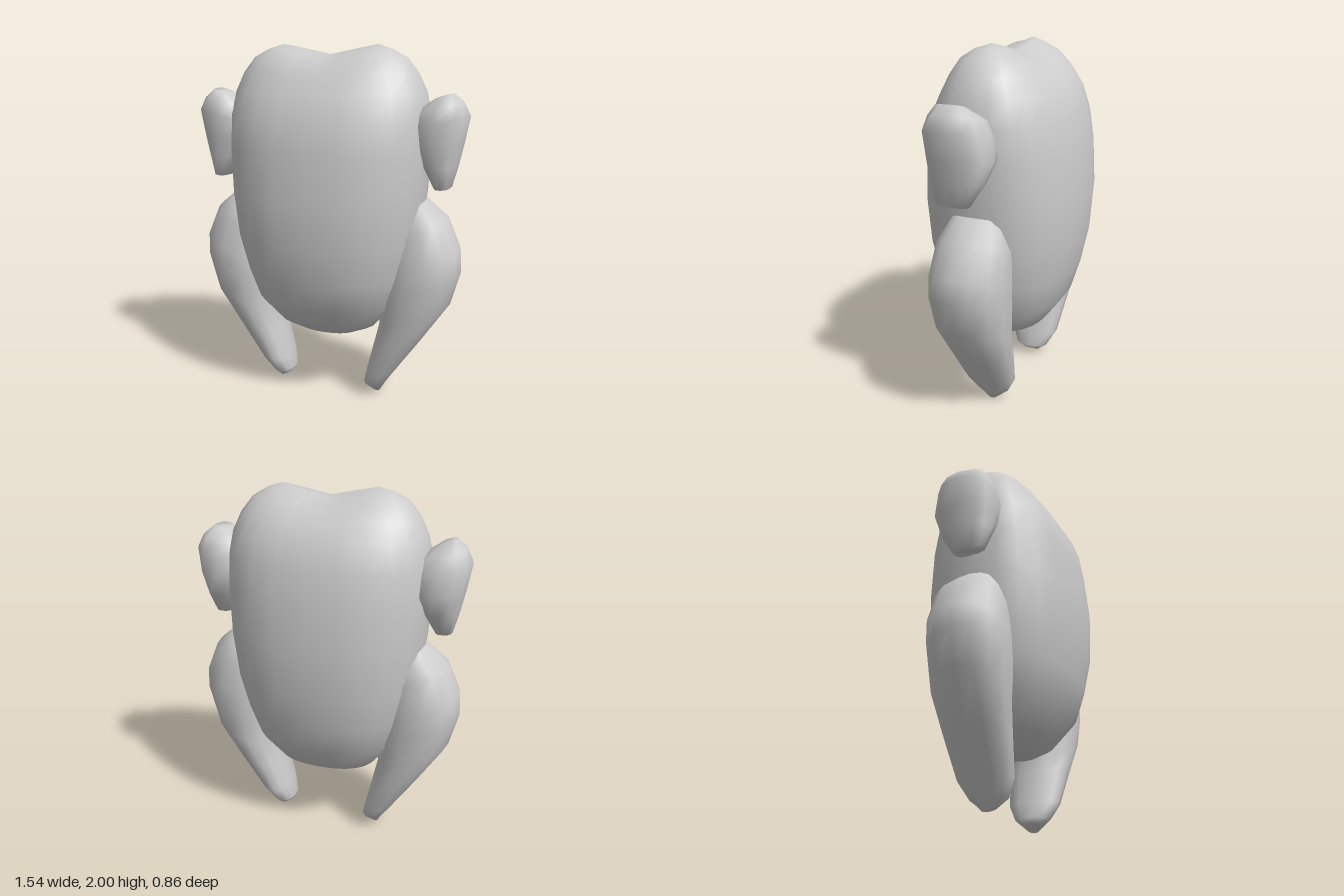
import * as THREE from 'three';

// Loft through closed rings, bottom to top, with a point closing each end.
// Row: [outerX, outerY, innerX, innerY, zFront, zBack]; side -1 mirrors in x.
function loft(name, rows, { side = 1, segments = 16, power = 2, shape = null }) {
  const pos = [], index = [];
  const add = (x, y, z) => {
    const p = new THREE.Vector3(x, y, z);
    if (shape) shape(p);
    pos.push(p.x, p.y, p.z);
  };
  const round = v => Math.sign(v) * Math.abs(v) ** (2 / power);
  for (const [ox, oy, ix, iy, zf, zb] of rows) {
    for (let j = 0; j < segments; j++) {
      const a = (j / segments) * Math.PI * 2;
      const c = round(Math.cos(a)), s = round(Math.sin(a));
      add(side * (ox + ix) / 2 + c * (ox - ix) / 2,
        (oy + iy) / 2 + side * c * (oy - iy) / 2,
        s > 0 ? s * zf : -s * zb);
    }
  }
  const ends = [rows[0], rows[rows.length - 1]];
  for (const [ox, oy, ix, iy, zf, zb] of ends) {
    add(side * (ox + ix) / 2, (oy + iy) / 2, (zf + zb) / 2);
  }
  const last = (rows.length - 1) * segments, bottom = rows.length * segments;
  for (let j = 0; j < segments; j++) {
    const k = (j + 1) % segments;
    for (let i = 0; i < last; i += segments) {
      const a = i + j, b = i + k;
      index.push(a, a + segments, b, b, a + segments, b + segments);
    }
    index.push(bottom, j, k, bottom + 1, last + k, last + j);
  }
  const geometry = new THREE.BufferGeometry();
  geometry.setAttribute('position', new THREE.Float32BufferAttribute(pos, 3));
  geometry.setIndex(index);
  geometry.computeVertexNormals();
  const mesh = new THREE.Mesh(geometry, new THREE.MeshStandardMaterial({ color: 0xcccccc }));
  mesh.name = name;
  return mesh;
}

// Body profile: [y, half width, front depth, back depth]
const bodyRows = [
  [0.35, 0.06, 0.05, 0.05],
  [0.37, 0.17, 0.11, 0.11],
  [0.43, 0.29, 0.20, 0.21],
  [0.58, 0.41, 0.33, 0.32],
  [0.75, 0.47, 0.38, 0.37],
  [0.95, 0.52, 0.42, 0.41],
  [1.20, 0.55, 0.43, 0.425],
  [1.45, 0.565, 0.405, 0.405],
  [1.62, 0.56, 0.38, 0.375],
  [1.75, 0.535, 0.31, 0.33],
  [1.85, 0.49, 0.255, 0.26],
  [1.93, 0.43, 0.20, 0.18],
  [1.975, 0.35, 0.13, 0.09],
  [2.00, 0.27, 0.03, 0.03],
].map(([y, w, zf, zb]) => [w, y, -w, y, zf, -zb]);

// Folded leg, from the rounded tip up to the hip
const legRows = [
  [0.315, 0.00, 0.24, 0.045, 0.04, -0.04],
  [0.35, 0.06, 0.225, 0.07, 0.10, -0.10],
  [0.41, 0.15, 0.245, 0.16, 0.145, -0.15],
  [0.56, 0.37, 0.285, 0.34, 0.17, -0.18],
  [0.71, 0.60, 0.31, 0.45, 0.195, -0.20],
  [0.76, 0.79, 0.31, 0.62, 0.21, -0.21],
  [0.755, 0.91, 0.32, 0.75, 0.205, -0.215],
  [0.68, 1.08, 0.34, 0.95, 0.18, -0.205],
  [0.56, 1.18, 0.38, 1.12, 0.12, -0.15],
];

// Wing stub, from the hanging tip up to the shoulder
const wingRows = [
  [0.69, 1.265, 0.60, 1.26, 0.12, -0.06],
  [0.72, 1.38, 0.54, 1.37, 0.145, -0.13],
  [0.745, 1.50, 0.47, 1.48, 0.16, -0.175],
  [0.77, 1.64, 0.44, 1.58, 0.17, -0.15],
  [0.735, 1.71, 0.49, 1.66, 0.145, -0.12],
  [0.68, 1.755, 0.59, 1.73, 0.11, -0.04],
];

export function createModel() {
  const group = new THREE.Group();
  group.name = 'poultry';

  // Rounded body with a shallow notch across the top
  const notch = p => {
    const fade = THREE.MathUtils.smoothstep(p.y, 1.75, 2);
    p.y -= 0.055 * Math.max(0, 1 - Math.abs(p.x) / 0.27) * fade;
  };
  group.add(loft('body', bodyRows, { segments: 24, power: 2.35, shape: notch }));

  for (const side of [1, -1]) {
    const prefix = side > 0 ? 'left' : 'right';
    group.add(loft(prefix + 'Leg', legRows, { side, segments: 14, power: 2.2 }));
    group.add(loft(prefix + 'Wing', wingRows, { side, segments: 12, power: 2.6 }));
  }
  return group;
}
